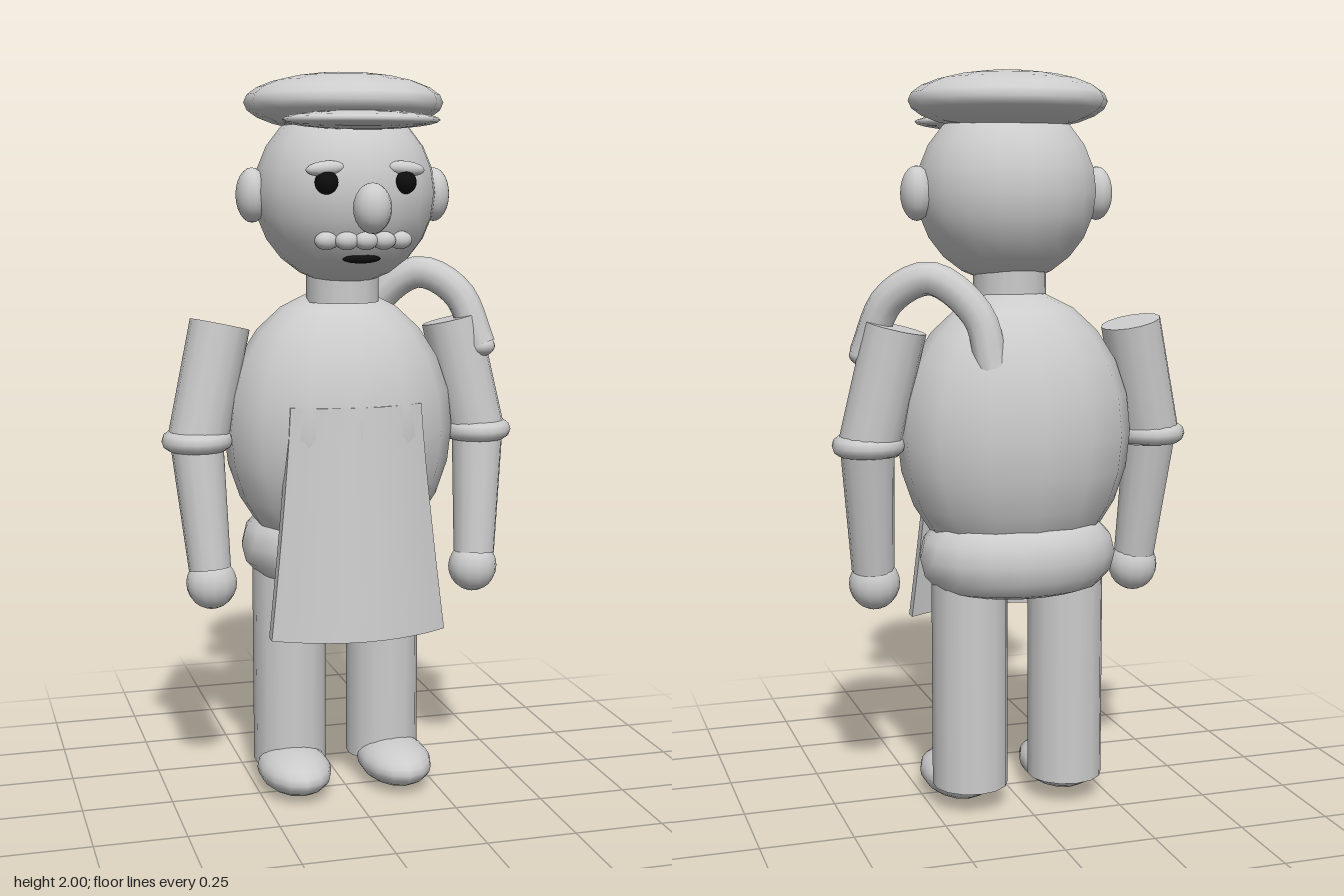
import * as THREE from 'three';

export function createModel() {
  const root = new THREE.Group();
  root.name = 'figure';

  const grey = new THREE.MeshStandardMaterial({ color: 0xcccccc });
  grey.name = 'plain grey';
  const black = new THREE.MeshStandardMaterial({ color: 0x0d0d0d });
  black.name = 'black';

  const add = (name, geometry, material = grey) => {
    const mesh = new THREE.Mesh(geometry, material);
    mesh.name = name;
    root.add(mesh);
    return mesh;
  };

  // Ellipsoid from centre and three radii
  const blob = (name, [x, y, z], [rx, ry, rz], material = grey, segments = 14) => {
    const geometry = new THREE.SphereGeometry(1, segments, 12).rotateY(Math.PI / 2).scale(rx, ry, rz);
    const mesh = add(name, geometry, material);
    mesh.position.set(x, y, z);
    return mesh;
  };

  // Tapered cylinder between two points
  const limb = (name, from, to, rFrom, rTo) => {
    const a = new THREE.Vector3(...from);
    const b = new THREE.Vector3(...to);
    const axis = b.clone().sub(a);
    const mesh = add(name, new THREE.CylinderGeometry(rTo, rFrom, axis.length(), 14));
    mesh.position.copy(a).add(b).multiplyScalar(0.5);
    mesh.quaternion.setFromUnitVectors(new THREE.Vector3(0, 1, 0), axis.normalize());
    return mesh;
  };

  // Torso, hips and neck
  blob('torso', [0, 1.03, -0.075], [0.325, 0.39, 0.245]);
  const hips = add('hips', new THREE.TorusGeometry(0.185, 0.09, 12, 18).rotateX(Math.PI / 2).scale(1, 1.08, 0.75));
  hips.position.set(0, 0.7, -0.1);
  limb('neck', [0, 1.385, -0.03], [0, 1.47, -0.03], 0.1, 0.1);

  // Head and cap
  blob('head', [0, 1.68, -0.005], [0.247, 0.247, 0.237], grey, 18);
  blob('cap', [0, 1.92, -0.018], [0.27, 0.08, 0.262]);
  blob('capBrim', [0, 1.87, 0.16], [0.21, 0.025, 0.15]);

  // Face
  blob('nose', [0, 1.645, 0.265], [0.05, 0.065, 0.05]);
  blob('mouth', [0, 1.511, 0.162], [0.052, 0.012, 0.02], black);
  for (let i = -2; i <= 2; i++) {
    blob('moustache', [i * 0.05, 1.56, 0.205 - 0.006 * i * i], [0.032, 0.024, 0.025]);
  }

  for (const s of [-1, 1]) {
    blob('eye', [s * 0.105, 1.71, 0.203], [0.031, 0.031, 0.031], black);
    blob('eyebrow', [s * 0.105, 1.745, 0.198], [0.055, 0.02, 0.022]).rotation.z = -s * 0.08;
    blob('ear', [s * 0.255, 1.675, -0.015], [0.043, 0.073, 0.057]);

    // Arms
    limb('upperArm', [s * 0.405, 1.0, -0.06], [s * 0.333, 1.325, -0.085], 0.083, 0.083);
    limb('forearm', [s * 0.384, 0.66, -0.006], [s * 0.407, 1.01, -0.055], 0.058, 0.073);
    const cuff = add('cuff', new THREE.TorusGeometry(0.07, 0.028, 10, 18).rotateX(Math.PI / 2));
    cuff.position.set(s * 0.405, 1.01, -0.058);
    blob('hand', [s * 0.38, 0.62, -0.005], [0.07, 0.072, 0.065]);

    // Legs
    limb('leg', [s * 0.138, 0.06, -0.104], [s * 0.138, 0.7, -0.104], 0.104, 0.104);
    blob('foot', [s * 0.148, 0.062, -0.01], [0.102, 0.062, 0.158]);
  }

  // Apron: a thick sheet bowed around the front, flaring downwards
  const apron = new THREE.BoxGeometry(1, 1, 1, 10, 8, 1);
  const p = apron.attributes.position;
  for (let i = 0; i < p.count; i++) {
    const u = p.getX(i) * 2;
    const t = 0.5 - p.getY(i);
    const half = 0.183 + 0.062 * Math.pow(t, 1.2);
    const bow = 0.045 + 0.03 * t;
    const front = 0.162 + 0.058 * t - bow * u * u;
    p.setXYZ(i, u * half, 1.115 - 0.63 * t, front - (p.getZ(i) > 0 ? 0 : 0.035));
  }
  apron.computeVertexNormals();
  add('apron', apron);

  // Hose arching from the back over the left shoulder to the arm
  const path = new THREE.CatmullRomCurve3([
    [0.11, 1.22, -0.225], [0.14, 1.36, -0.195], [0.25, 1.455, -0.135],
    [0.35, 1.4, -0.08], [0.405, 1.25, -0.035],
  ].map((q) => new THREE.Vector3(...q)));
  add('hose', new THREE.TubeGeometry(path, 20, 0.045, 10));
  blob('hoseEnd', [0.405, 1.25, -0.035], [0.043, 0.03, 0.043]);

  return root;
}
